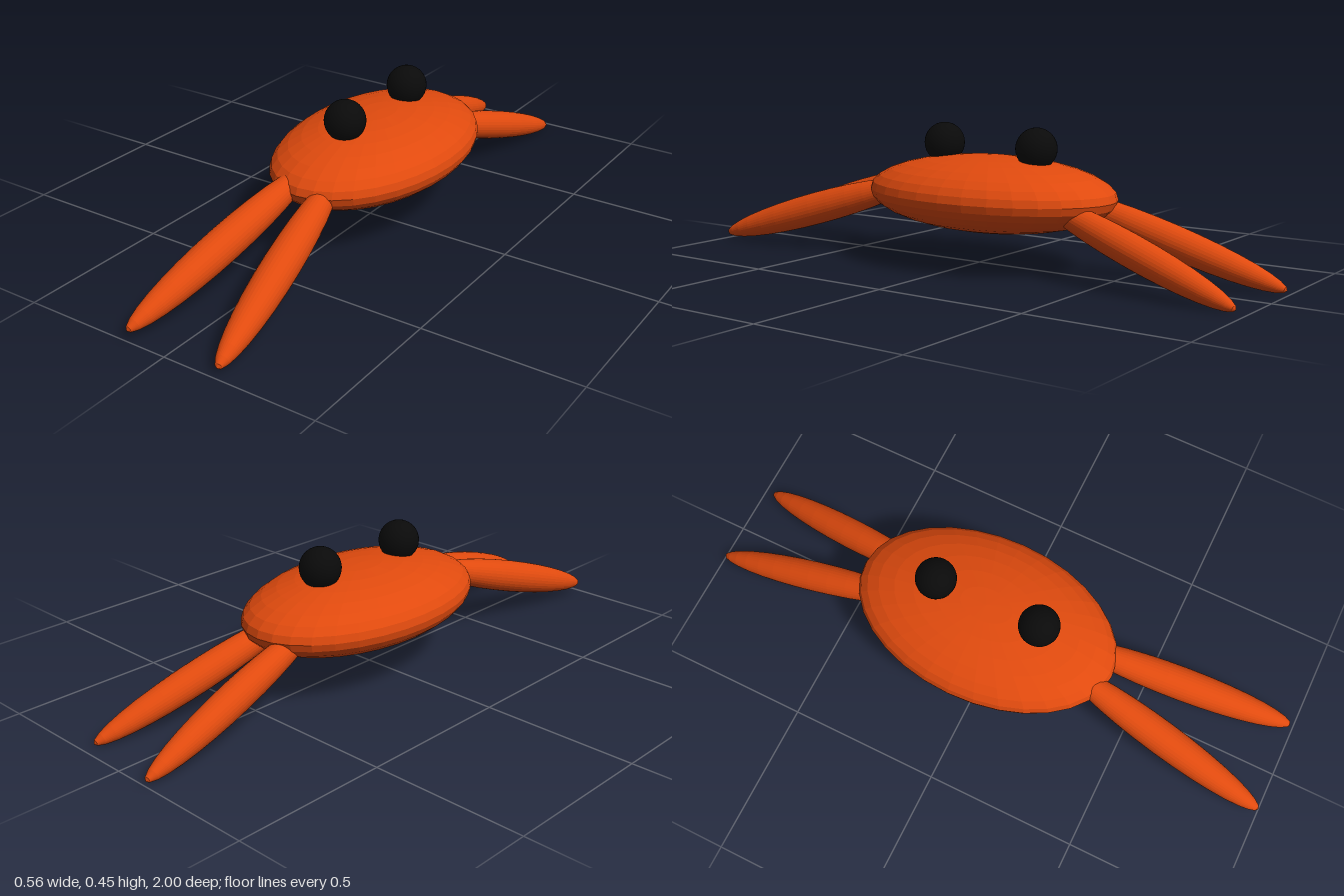
import * as THREE from 'three';

export function createModel() {
  const group = new THREE.Group();
  const orange = new THREE.MeshStandardMaterial({ color: 0xe04a0e, flatShading: true });
  const black = new THREE.MeshStandardMaterial({ color: 0x0a0a0a });
  const sphere = new THREE.SphereGeometry(1, 32, 16);

  function ellipsoid(name, material, center, radii) {
    const mesh = new THREE.Mesh(sphere, material);
    mesh.name = name;
    mesh.position.set(...center);
    mesh.scale.set(...radii);
    group.add(mesh);
    return mesh;
  }

  // Flattened oval body
  ellipsoid('body', orange, [0, 0.232, -0.042], [0.28, 0.122, 0.443]);

  // Round eyes resting on the body
  ellipsoid('frontEye', black, [0, 0.384, 0.14], [0.066, 0.066, 0.066]);
  ellipsoid('backEye', black, [0, 0.384, -0.218], [0.066, 0.066, 0.066]);

  // Tapered legs: center, vector from center to foot, thickness radius
  const legs = [
    ['frontRightLeg', [-0.091, 0.148, 0.625], [-0.045, -0.116, 0.372], 0.055],
    ['frontLeftLeg', [0.108, 0.135, 0.615], [0.067, -0.112, 0.372], 0.055],
    ['backRightLeg', [-0.085, 0.13, -0.64], [-0.034, -0.115, -0.358], 0.05],
    ['backLeftLeg', [0.108, 0.125, -0.612], [0.055, -0.115, -0.355], 0.05],
  ];
  const up = new THREE.Vector3(0, 1, 0);
  for (const [name, center, toFoot, r] of legs) {
    const axis = new THREE.Vector3(...toFoot);
    const leg = ellipsoid(name, orange, center, [r, axis.length(), r]);
    leg.quaternion.setFromUnitVectors(up, axis.normalize());
  }

  return group;
}
